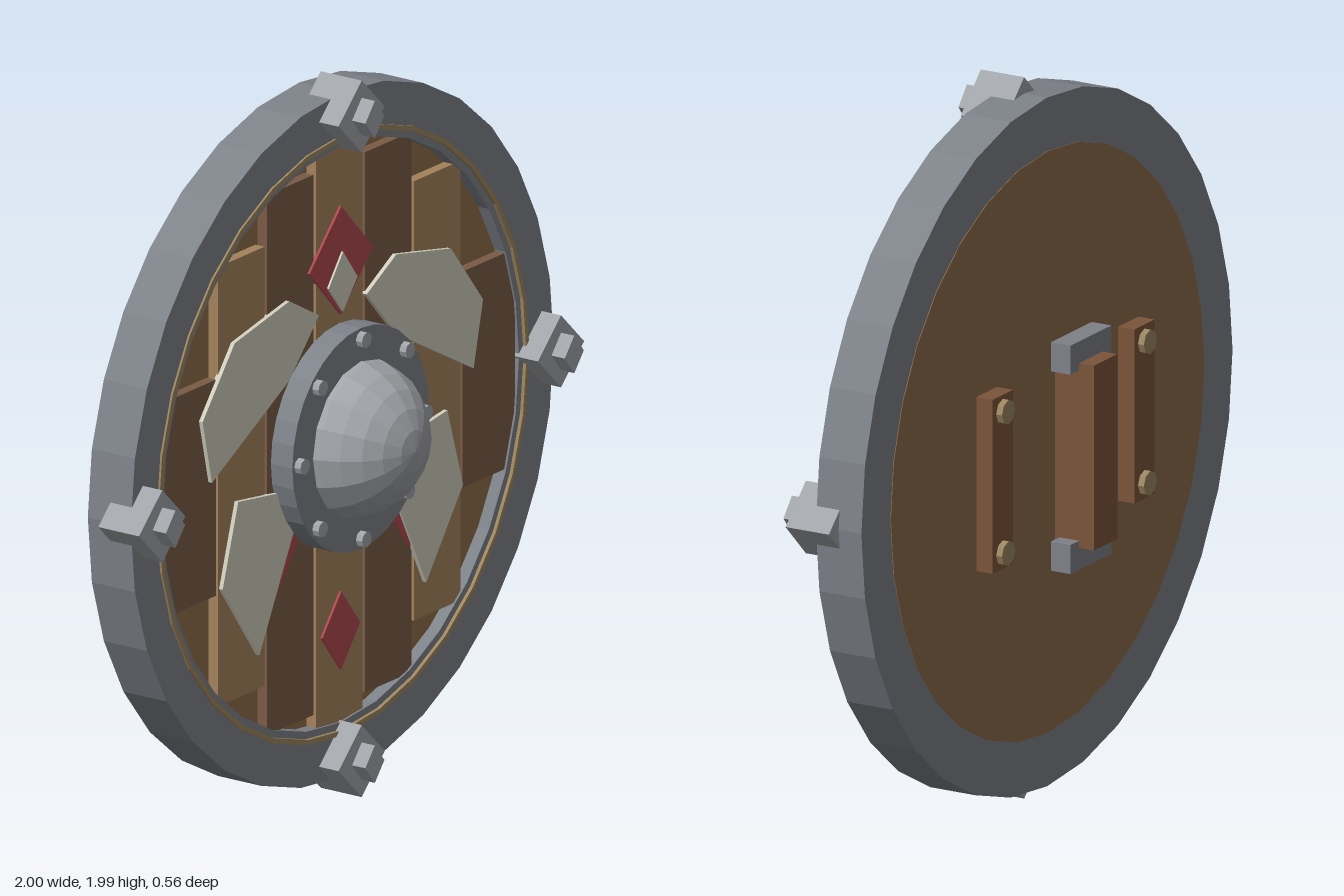
import * as THREE from 'three';

const material = (color) => new THREE.MeshStandardMaterial({ color, flatShading: true });
const STEEL = material(0x7d8188), PALE_STEEL = material(0xa0a3a8), BACKING = material(0x8d6c4a);
const LIGHT_WOOD = material(0xa3825c), DARK_WOOD = material(0x7a5b45), GRIP = material(0x7b543a);
const RED = material(0xb0484f), CREAM = material(0xcfccba), BRASS = material(0x9c8660);

export function createModel() {
  const model = new THREE.Group();
  model.name = 'roundShield';
  const shield = new THREE.Group();
  shield.name = 'shieldBody';
  shield.position.y = 0.995;
  model.add(shield);

  const add = (name, geometry, mat) => {
    const mesh = new THREE.Mesh(geometry, mat);
    mesh.name = name;
    shield.add(mesh);
    return mesh;
  };
  // Box given by its centre in x and y, and its range in z
  const box = (name, mat, x, y, w, h, z0, z1) =>
    add(name, new THREE.BoxGeometry(w, h, z1 - z0), mat).position.set(x, y, (z0 + z1) / 2);
  // Round disc facing the front
  const disc = (name, mat, x, y, r, z0, z1, sides) =>
    add(name, new THREE.CylinderGeometry(r, r, z1 - z0, sides).rotateX(Math.PI / 2), mat)
      .position.set(x, y, (z0 + z1) / 2);
  // Ring turned from a closed profile of [radius, z]
  const ring = (name, mat, profile) =>
    add(name, new THREE.LatheGeometry(profile.map(([r, z]) => new THREE.Vector2(r, z)), 32)
      .rotateX(Math.PI / 2), mat);
  // Flat plate cut from an outline, optionally mirrored in x
  const plate = (name, mat, outline, z0, z1, side = 1) => {
    const shape = new THREE.Shape(outline.map(([x, y]) => new THREE.Vector2(x * side, y)));
    const geometry = new THREE.ExtrudeGeometry(shape, { depth: z1 - z0, bevelEnabled: false });
    return add(name, geometry.translate(0, 0, z0), mat);
  };
  const diamond = (hx, hy) => [[hx, 0], [0, hy], [-hx, 0], [0, -hy]];

  // Rim with a small inner step, and a thin wooden trim line
  ring('rim', STEEL, [[0.8, -0.1], [0.95, -0.1], [0.95, 0.04], [0.832, 0.04],
    [0.822, 0.036], [0.8, 0.036], [0.8, -0.1]]);
  ring('rimTrim', BRASS, [[0.82, 0.03], [0.834, 0.03], [0.834, 0.046], [0.82, 0.046], [0.82, 0.03]]);

  // Wooden core and the planks on its front
  disc('backing', BACKING, 0, 0, 0.802, -0.102, 0, 32);
  box('centrePlank', LIGHT_WOOD, 0, 0, 0.21, 1.6, -0.01, 0.03);
  const planks = [[0.22, 0.21, 1.5, DARK_WOOD], [0.44, 0.21, 1.22, LIGHT_WOOD], [0.672, 0.235, 0.6, DARK_WOOD]];
  for (const side of [1, -1])
    for (const [x, w, h, mat] of planks) box('plank', mat, side * x, 0, w, h, -0.01, 0.03);

  // Painted wings and diamonds
  const upperWing = [[0.107, 0.36], [0.24, 0.435], [0.486, 0.385], [0.63, 0.205], [0.588, 0.025], [0.24, 0.215]];
  const lowerWing = [[0.2, -0.1], [0.29, -0.085], [0.47, -0.06], [0.54, -0.285], [0.375, -0.512], [0.2, -0.17]];
  const redFeather = [[0.18, -0.2], [0.2, -0.25], [0.31, -0.4], [0.35, -0.3]];
  for (const side of [1, -1]) {
    plate('upperWing', CREAM, upperWing, 0.025, 0.042, side);
    plate('lowerWing', CREAM, lowerWing, 0.025, 0.042, side);
    plate('redFeather', RED, redFeather, 0.025, 0.036, side);
  }
  plate('upperDiamond', RED, diamond(0.143, 0.15), 0.025, 0.037).position.y = 0.483;
  plate('lowerDiamond', RED, diamond(0.085, 0.108), 0.025, 0.037).position.y = -0.545;
  plate('creamKite', CREAM, [[0.065, 0.422], [0, 0.508], [-0.065, 0.422], [0, 0.342]], 0.03, 0.043);

  // Central boss: flange, dome and bolts
  disc('bossFlange', STEEL, 0, 0, 0.307, 0.02, 0.1, 32);
  add('bossDome', new THREE.SphereGeometry(0.22, 16, 6, 0, Math.PI * 2, 0, Math.PI / 2)
    .rotateX(Math.PI / 2), PALE_STEEL).position.z = 0.06;
  for (let i = 0; i < 8; i++) {
    const a = (i * Math.PI) / 4;
    disc('bossBolt', PALE_STEEL, 0.277 * Math.cos(a), 0.277 * Math.sin(a), 0.022, 0.09, 0.12, 8);
  }

  // Four diamond studs on the rim
  for (const [x, y] of [[1, 0], [0, 1], [-1, 0], [0, -1]]) {
    for (const [name, hx, hy, z0, z1] of [['rimStud', 0.104, 0.1, -0.03, 0.103], ['studTip', 0.043, 0.052, 0.09, 0.146]])
      plate(name, PALE_STEEL, diamond(hx, hy), z0, z1).position.set(x * 0.896, y * 0.895, 0);
  }

  // Back: grip with brackets, and two riveted straps
  box('grip', GRIP, 0, 0, 0.12, 0.51, -0.28, -0.16);
  for (const end of [1, -1]) {
    box('gripBracket', STEEL, 0, end * 0.275, 0.21, 0.08, -0.235, -0.175);
    box('armStrap', GRIP, end * 0.363, 0, 0.104, 0.48, -0.182, -0.132);
    for (const side of [1, -1]) disc('strapRivet', BRASS, side * 0.363, end * 0.195, 0.034, -0.2, -0.17, 8);
  }
  return model;
}
